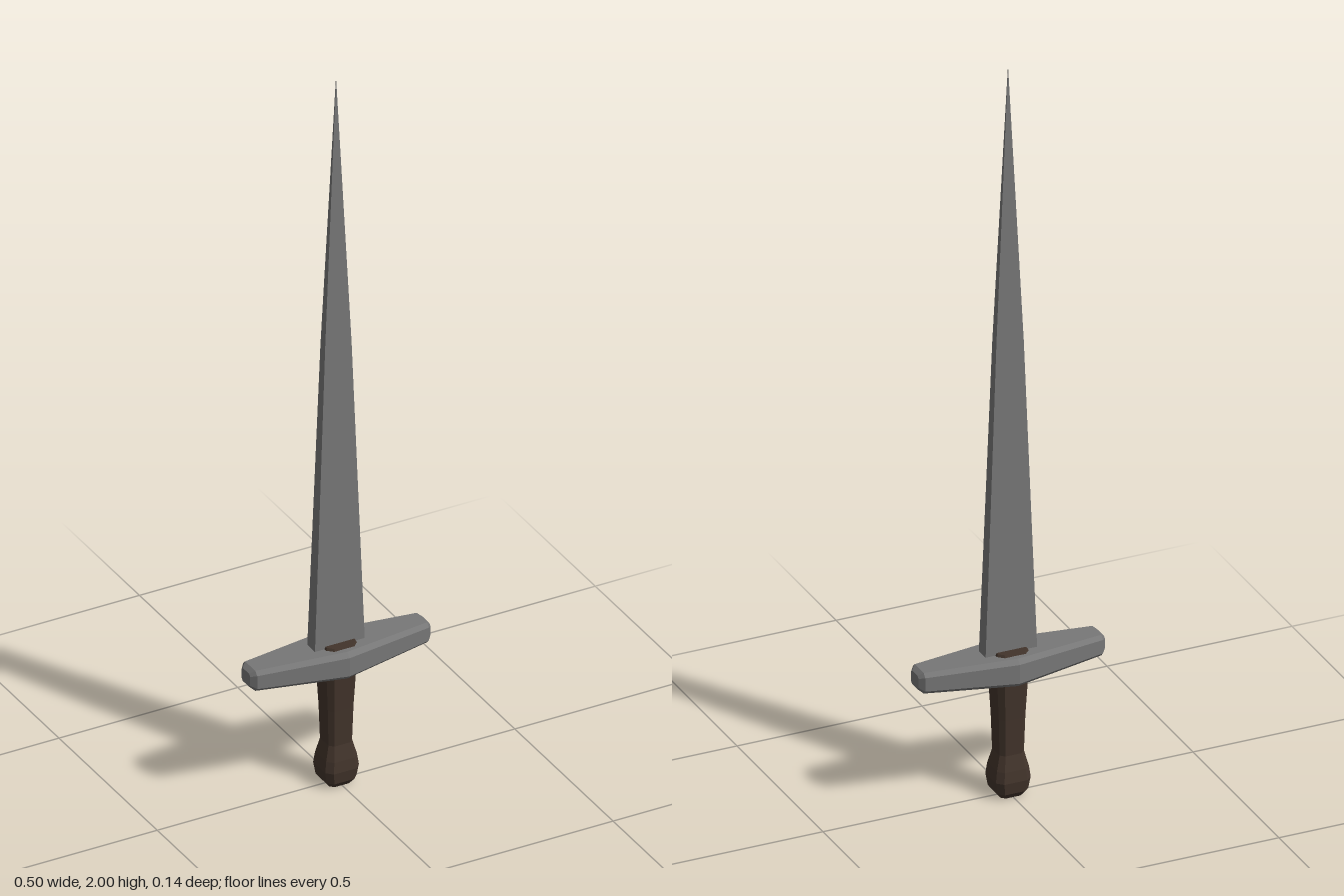
import * as THREE from 'three';

const steel = new THREE.MeshStandardMaterial({ color: 0x777777, flatShading: true });
const leather = new THREE.MeshStandardMaterial({ color: 0x42342b, flatShading: true });

// Skin a list of equal-length rings (each counter-clockwise seen from the last ring) and cap both ends.
function loft(rings) {
  const n = rings[0].length;
  const index = [];
  for (let r = 0; r < rings.length - 1; r++) {
    for (let i = 0; i < n; i++) {
      const a = r * n + i, b = r * n + (i + 1) % n;
      index.push(a, b, b + n, a, b + n, a + n);
    }
  }
  const last = (rings.length - 1) * n;
  for (let i = 1; i < n - 1; i++) {
    index.push(0, i + 1, i, last, last + i, last + i + 1);
  }
  const geometry = new THREE.BufferGeometry();
  geometry.setAttribute('position', new THREE.Float32BufferAttribute(rings.flat(2), 3));
  geometry.setIndex(index);
  const flat = geometry.toNonIndexed();
  flat.computeVertexNormals();
  return flat;
}

function part(name, geometry, material) {
  const mesh = new THREE.Mesh(geometry, material);
  mesh.name = name;
  return mesh;
}

// Blade: rectangular section, easing to a point: [y, half width, half depth]
function bladeGeometry() {
  const stations = [[0.36, 0.071, 0.02], [1.25, 0.037, 0.012], [2, 0.0005, 0.0005]];
  return loft(stations.map(([y, w, d]) => [[-w, y, d], [w, y, d], [w, y, -d], [-w, y, -d]]));
}

// Crossguard: chamfered section, deepest in the middle: [x, half depth, bottom, top, chamfer]
function guardGeometry() {
  const half = [[0, 0.07, 0.322, 0.398, 0.012], [0.24, 0.036, 0.339, 0.396, 0.01], [0.252, 0.022, 0.349, 0.386, 0.006]];
  const mirrored = half.slice(1).reverse().map(([x, ...rest]) => [-x, ...rest]);
  return loft([...mirrored, ...half].map(([x, d, lo, hi, c]) => [
    [x, lo, d - c], [x, lo, c - d], [x, lo + c, -d], [x, hi - c, -d],
    [x, hi, c - d], [x, hi, d - c], [x, hi - c, d], [x, lo + c, d],
  ]));
}

// Grip and pommel: square section with cut corners: [half width, y]
function gripGeometry() {
  const profile = [
    [0.03, 0.002], [0.042, 0.018], [0.047, 0.05], [0.043, 0.08], [0.033, 0.12],
    [0.036, 0.22], [0.042, 0.33], [0.044, 0.395], [0.04, 0.404],
  ];
  return loft(profile.map(([w, y]) => {
    const c = w * 0.66;
    return [
      [-c, y, w], [c, y, w], [w, y, c], [w, y, -c],
      [c, y, -w], [-c, y, -w], [-w, y, -c], [-w, y, c],
    ];
  }));
}

export function createModel() {
  const group = new THREE.Group();
  group.name = 'sword';
  group.add(
    part('blade', bladeGeometry(), steel),
    part('crossguard', guardGeometry(), steel),
    part('grip', gripGeometry(), leather),
  );
  return group;
}
